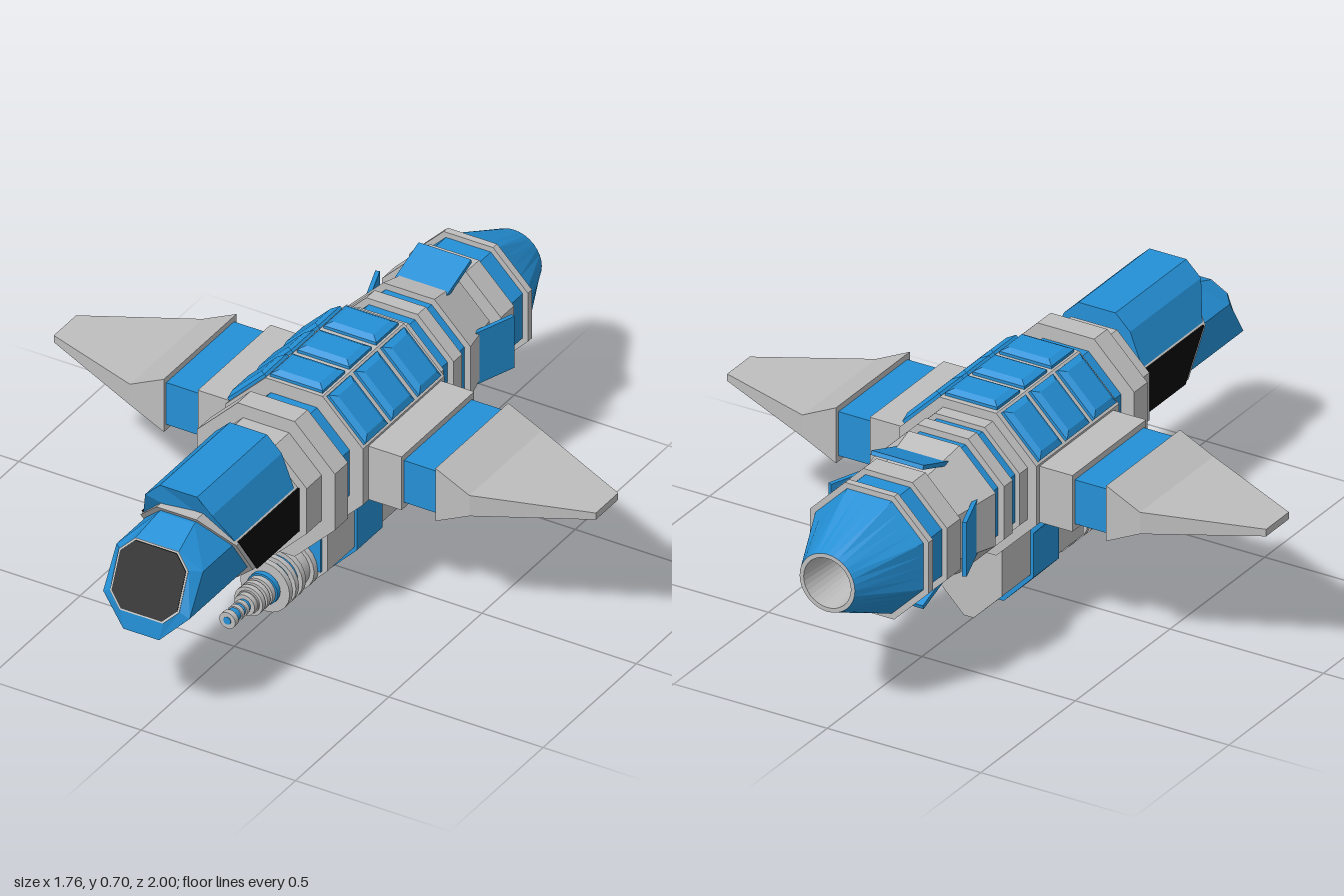
import * as THREE from 'three';

const make = (name, color) => {
  const m = new THREE.MeshStandardMaterial({ color });
  m.name = name;
  return m;
};

const AXIS = 0.456; // height of the hull axis
const T = Math.tan(Math.PI / 8);

// Skin over rings of points, each counter-clockwise seen from the far end; flat facets
function loft(rings, capStart = true, capEnd = true) {
  const pos = [];
  const tri = (a, b, c) => pos.push(...a, ...b, ...c);
  const n = rings[0].length;
  for (let k = 0; k < rings.length - 1; k++) {
    const a = rings[k], b = rings[k + 1];
    for (let i = 0; i < n; i++) {
      const j = (i + 1) % n;
      tri(a[i], a[j], b[j]);
      tri(a[i], b[j], b[i]);
    }
  }
  const first = rings[0], last = rings[rings.length - 1];
  for (let i = 1; i < n - 1; i++) {
    if (capStart) tri(first[0], first[i + 1], first[i]);
    if (capEnd) tri(last[0], last[i], last[i + 1]);
  }
  const g = new THREE.BufferGeometry();
  g.setAttribute('position', new THREE.Float32BufferAttribute(pos, 3));
  g.computeVertexNormals();
  return g;
}

// Flat-topped octagon; z may be a number or a rule of y
function octagon(r, z) {
  const f = r * T;
  return [[r, -f], [r, f], [f, r], [-f, r], [-r, f], [-r, -f], [-f, -r], [f, -r]]
    .map(([x, y]) => [x, y + AXIS, typeof z === 'function' ? z(y + AXIS) : z]);
}

export function createModel() {
  const blue = make('blue paint', 0x2490d6);
  const gray = make('light gray metal', 0xbebebe);
  const black = make('black glass', 0x0a0a0a);

  const model = new THREE.Group();
  model.name = 'spaceship';
  const add = (name, geometry, material, parent = model) => {
    const mesh = new THREE.Mesh(geometry, material);
    mesh.name = name;
    parent.add(mesh);
    return mesh;
  };

  // Hull segments: name, back z, front z, back radius, front radius, material
  const segments = [
    ['frontCollar', 0.33, 0.41, 0.18, 0.18, gray],
    ['frontRing', 0.26, 0.33, 0.223, 0.223, gray],
    ['frontBand', 0.17, 0.26, 0.18, 0.18, blue],
    ['mainBody', -0.257, 0.18, 0.223, 0.223, gray],
    ['neckRib', -0.30, -0.257, 0.195, 0.195, gray],
    ['neckCore', -0.44, -0.30, 0.18, 0.18, blue],
    ['neckRib', -0.39, -0.345, 0.2, 0.2, gray],
    ['taperedCowl', -0.595, -0.435, 0.165, 0.2, gray],
    ['engineCore', -0.62, -0.595, 0.15, 0.15, blue],
    ['engineRing', -0.68, -0.61, 0.193, 0.193, gray],
    ['engineBand', -0.755, -0.68, 0.176, 0.176, blue],
    ['engineRim', -0.777, -0.755, 0.193, 0.193, gray],
  ];
  for (const [name, z0, z1, r0, r1, mat] of segments)
    add(name, loft([octagon(r0, z0), octagon(r1, z1)]), mat);

  // Nozzle: octagon at the engine blending to a round mouth, hollow inside
  const blend = (r, z, round) => Array.from({ length: 32 }, (_, i) => {
    const t = (i * Math.PI) / 16;
    const oct = r / Math.cos(((t + Math.PI / 8) % (Math.PI / 4)) - Math.PI / 8);
    const q = oct + (r - oct) * round;
    return [q * Math.cos(t), AXIS + q * Math.sin(t), z];
  });
  add('nozzleCone', loft([blend(0.09, -1, 1), blend(0.176, -0.777, 0)], false, false), blue);
  add('nozzleLining', loft([blend(0.06, -0.82, 1), blend(0.077, -1, 1), blend(0.09, -1, 1)], true, false), gray);

  // Nose: octagonal hull closing to a slanted window
  const noseZ = { 0: 1, 1: 0.972, 2: 0.9, 3: 0.81 };
  const level = [1, 2, 3, 3, 2, 1, 0, 0];
  const noseRim = octagon(0.14, 0).map(([x, y], i) => [x, y, noseZ[level[i]]]);
  const windowRing = (s, lift) =>
    [[0.112, -0.055], [0.112, 0.055], [0.07, 0.095], [-0.07, 0.095],
      [-0.112, 0.055], [-0.112, -0.055], [-0.07, -0.095], [0.07, -0.095]]
      .map(([x, y]) => [x * s, 0.47 + y * s, 0.996 - (y * s + 0.09) * 0.444 + lift]);
  add('noseHull', loft([octagon(0.14, 0.41), noseRim, windowRing(1, 0)], true, false), blue);
  add('noseWindowFrame', loft([windowRing(1, 0), windowRing(1, 0.002)]), gray);
  add('noseWindow', loft([windowRing(0.95, 0), windowRing(0.95, 0.004)]), black);

  // Cockpit shell cut on a slant, with side windows
  const slant = (y) => 0.81 - (0.61 - y) * 0.7;
  add('cockpitShell', loft([octagon(0.155, 0.41), octagon(0.155, slant)]), gray);
  for (const s of [1, -1]) {
    const pane = (x) => [[x, 0.385, 0.412], [x, 0.526, 0.412],
      [x, 0.526, slant(0.526) - 0.015], [x, 0.385, slant(0.385) - 0.015]];
    const a = pane(s * 0.152), b = pane(s * 0.158);
    add(s > 0 ? 'leftSideWindow' : 'rightSideWindow', loft(s > 0 ? [a, b] : [a.reverse(), b.reverse()]), black);
  }

  // Canopy roof
  const roof = (z) => [[0.148, 0.53], [0.108, 0.632], [0.06, 0.678], [-0.06, 0.678], [-0.108, 0.632], [-0.148, 0.53]]
    .map(([x, y]) => [x, y, z === null ? Math.min(0.8, slant(y) - 0.012) : z]);
  add('canopy', loft([roof(0.425), roof(null)]), blue);

  // Raised roof panels, three rows on three upper facets
  const rect = (w, d, y) => [[w, y, d], [w, y, -d], [-w, y, -d], [-w, y, d]];
  const panelShape = loft([rect(0.085, 0.06, 0.21), rect(0.085, 0.06, 0.232), rect(0.066, 0.042, 0.242)]);
  for (const angle of [-Math.PI / 4, 0, Math.PI / 4])
    for (const z of [0.107, -0.036, -0.18]) {
      const p = add('roofPanel', panelShape, blue);
      p.position.set(0, AXIS, z);
      p.rotation.z = angle;
    }

  // Wings
  const WZ = -0.045;
  const slab = (x, h, d) => [[x, -h, -d], [x, h, -d], [x, h, d], [x, -h, d]];
  for (const side of [1, -1]) {
    const wing = new THREE.Group();
    wing.name = side > 0 ? 'leftWing' : 'rightWing';
    wing.position.set(0, 0.454, WZ);
    wing.rotation.y = side > 0 ? 0 : Math.PI;
    model.add(wing);
    add('wingRoot', loft([slab(0.18, 0.088, 0.195), slab(0.33, 0.088, 0.195)]), gray, wing);
    add('wingJoint', loft([slab(0.33, 0.069, 0.182), slab(0.44, 0.069, 0.182)]), blue, wing);
    add('wingBlade', loft([slab(0.44, 0.087, 0.195), slab(0.55, 0.034, 0.195), slab(0.878, 0.011, 0.06)]), gray, wing);
  }

  // Air brake flaps around the cowl
  for (let i = 0; i < 4; i++) {
    const holder = new THREE.Group();
    holder.name = 'flap';
    holder.position.set(0, AXIS, -0.565);
    holder.rotation.z = (i * Math.PI) / 2;
    model.add(holder);
    const flap = add('flapPlate', new THREE.BoxGeometry(0.17, 0.013, 0.14), blue, holder);
    flap.position.y = 0.196;
    flap.rotation.x = 0.34;
  }

  // Belly pod with a blue saddle band
  const prism = (half, z0, z1) => {
    const pts = [...half, ...half.slice().reverse().map(([x, y]) => [-x, y])];
    const g = new THREE.ExtrudeGeometry(new THREE.Shape(pts.map(([x, y]) => new THREE.Vector2(x, y))),
      { depth: z1 - z0, bevelEnabled: false });
    return g.translate(0, 0, z0);
  };
  add('bellyPod', prism([[0.016, 0.014], [0.108, 0.107], [0.108, 0.28]], -0.252, 0.18), gray);
  add('podBand', prism([[0.02, 0], [0.117, 0.1], [0.117, 0.238], [0.23, 0.36]], -0.1, 0.035), blue);
  add('podFrontPlate', prism([[0.09, 0.1], [0.09, 0.222]], 0.178, 0.186), blue);

  // Gun: radius, back z, front z, material
  const gun = new THREE.Group();
  gun.name = 'gun';
  gun.position.y = 0.106;
  model.add(gun);
  const stages = [
    [0.08, 0.17, 0.205, gray], [0.067, 0.205, 0.25, gray], [0.08, 0.248, 0.266, gray],
    [0.066, 0.266, 0.285, blue], [0.08, 0.285, 0.302, gray], [0.066, 0.302, 0.318, blue],
    [0.08, 0.318, 0.336, gray], [0.05, 0.336, 0.352, blue], [0.036, 0.352, 0.43, gray],
    [0.046, 0.355, 0.372, gray], [0.046, 0.382, 0.398, gray], [0.046, 0.408, 0.424, gray],
    [0.033, 0.43, 0.446, gray], [0.02, 0.446, 0.53, blue], [0.024, 0.458, 0.472, gray],
    [0.024, 0.484, 0.498, gray], [0.026, 0.52, 0.538, gray], [0.012, 0.53, 0.54, blue],
  ];
  for (const [r, z0, z1, mat] of stages) {
    const g = new THREE.CylinderGeometry(r, r, z1 - z0, 20);
    g.rotateX(Math.PI / 2).translate(0, 0, (z0 + z1) / 2);
    add('gunStage', g, mat, gun);
  }

  return model;
}
